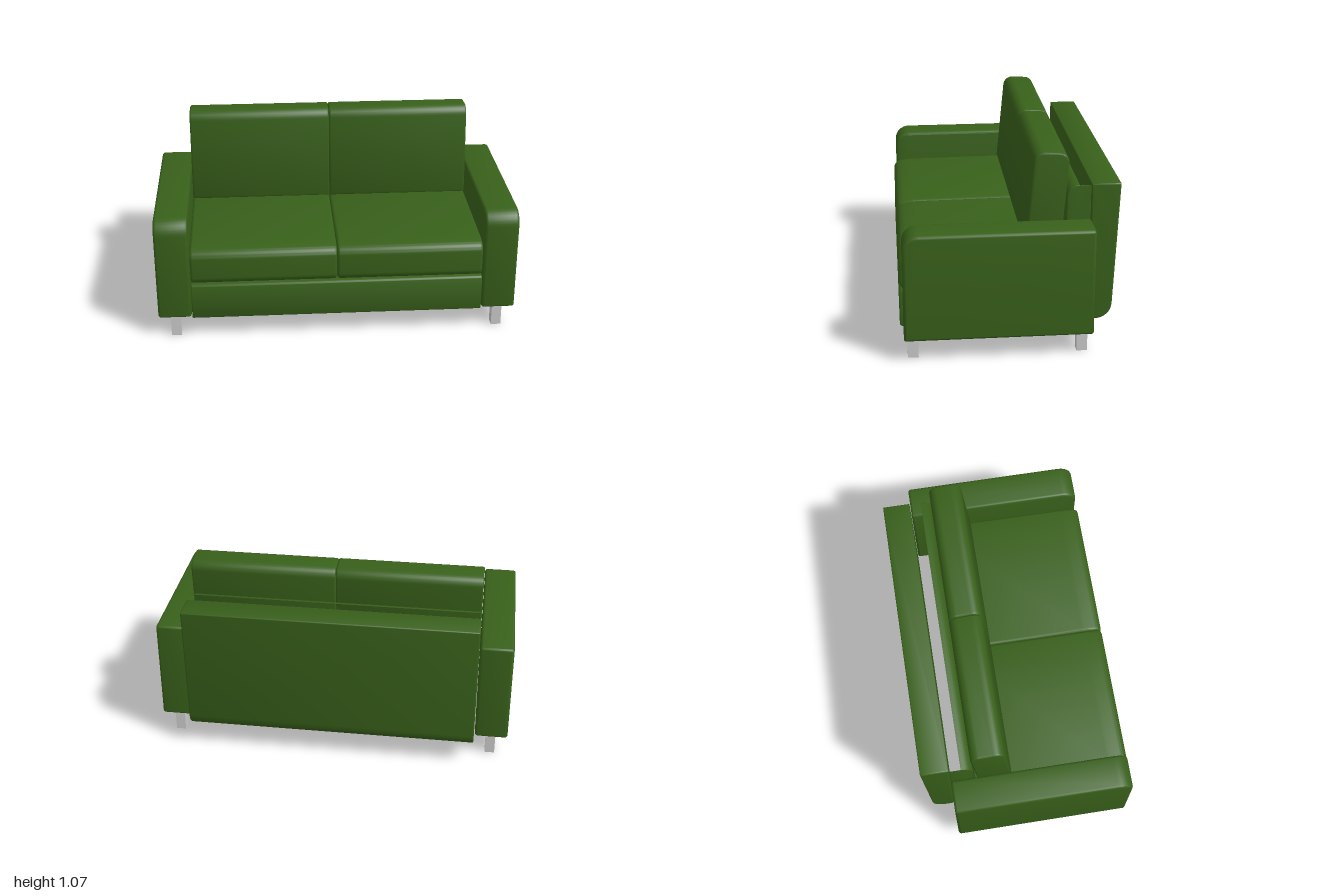
import * as THREE from 'three';
import { toCreasedNormals } from 'three/addons/utils/BufferGeometryUtils.js';

const fabric = new THREE.MeshStandardMaterial({ color: 0x38601a });
const grey = new THREE.MeshStandardMaterial({ color: 0xcccccc });

// Closed side outline from corners [z, y, radius], each corner rounded.
function outline(corners) {
  const shape = new THREE.Shape();
  const n = corners.length;
  corners.forEach(([z, y, r], i) => {
    const p = new THREE.Vector2(z, y);
    const toward = ([qz, qy], d) => new THREE.Vector2(qz, qy).sub(p).setLength(d).add(p);
    const prev = corners[(i + n - 1) % n], next = corners[(i + 1) % n];
    const a = toward(prev, r), b = toward(next, r);
    const c = toward(prev, r * 0.45), d = toward(next, r * 0.45);
    if (i === 0) shape.moveTo(a.x, a.y); else shape.lineTo(a.x, a.y);
    shape.bezierCurveTo(c.x, c.y, d.x, d.y, b.x, b.y);
  });
  shape.closePath();
  return shape;
}

// Side outline swept across x from x0 to x1, with softened end edges.
function sweep(corners, x0, x1, bevel) {
  const geo = new THREE.ExtrudeGeometry(outline(corners), {
    depth: x1 - x0 - 2 * bevel, curveSegments: 8,
    bevelEnabled: true, bevelSize: bevel, bevelThickness: bevel, bevelOffset: -bevel, bevelSegments: 3,
  });
  geo.rotateY(-Math.PI / 2);
  geo.translate(x1 - bevel, 0, 0);
  return toCreasedNormals(geo, 0.7);
}

// Leaves out the upward faces behind a given z, for an open-topped shell.
function openTop(geo, zLimit) {
  const pos = geo.attributes.position;
  const keep = [];
  const tri = new THREE.Triangle(), normal = new THREE.Vector3(), mid = new THREE.Vector3();
  for (let i = 0; i < pos.count; i += 3) {
    tri.setFromAttributeAndIndices(pos, i, i + 1, i + 2);
    tri.getNormal(normal);
    tri.getMidpoint(mid);
    if (!(normal.y > 0.3 && mid.z < zLimit)) keep.push(i, i + 1, i + 2);
  }
  geo.setIndex(keep);
  return geo;
}

export function createModel() {
  const group = new THREE.Group();
  const add = (name, geo, material = fabric) => {
    const mesh = new THREE.Mesh(geo, material);
    mesh.name = name;
    group.add(mesh);
    return mesh;
  };

  // Base under the seat
  add('base', sweep([
    [0.585, 0.123, 0.015], [0.585, 0.332, 0.02], [-0.31, 0.332, 0.01], [-0.31, 0.123, 0.005],
  ], -0.81, 0.805, 0.006));

  // Inner backrest: rounded front, open top
  add('innerBackrest', openTop(sweep([
    [-0.297, 0.123, 0.005], [-0.302, 0.89, 0.065], [-0.428, 0.892, 0.002], [-0.428, 0.123, 0.002],
  ], -0.81, 0.805, 0.004), -0.367));

  // Leaning outer back panel
  add('backPanel', sweep([
    [-0.432, 0.123, 0.012], [-0.432, 0.895, 0.005], [-0.587, 0.895, 0.006], [-0.553, 0.123, 0.085],
  ], -0.81, 0.808, 0.008));

  // Arms and legs on both sides
  for (const [side, s] of [['left', 1], ['right', -1]]) {
    const x0 = s > 0 ? 0.812 : -1, x1 = s > 0 ? 1 : -0.815;
    add(side + 'Arm', sweep([
      [0.567, 0.123, 0.01], [0.567, 0.708, 0.085], [-0.43, 0.708, 0.015], [-0.43, 0.123, 0.01],
    ], x0, x1, 0.016));
    for (const [end, z] of [['Front', 0.52], ['Back', -0.377]]) {
      add(side + end + 'Leg', new THREE.BoxGeometry(0.055, 0.125, 0.057), grey)
        .position.set(s * 0.905, 0.0625, z);
    }
  }

  // Seat and back cushions
  for (const [side, x0, x1] of [['left', -0.002, 0.803], ['right', -0.81, -0.004]]) {
    add(side + 'SeatCushion', sweep([
      [0.583, 0.332, 0.045], [0.583, 0.525, 0.04], [0.5, 0.54, 0.03], [-0.3, 0.548, 0.02], [-0.3, 0.332, 0.02],
    ], x0, x1, 0.016));
    add(side + 'BackCushion', sweep([
      [-0.083, 0.545, 0.015], [-0.132, 1.075, 0.055], [-0.315, 1.062, 0.05], [-0.272, 0.545, 0.02],
    ], x0, x1, 0.01));
  }

  return group;
}
